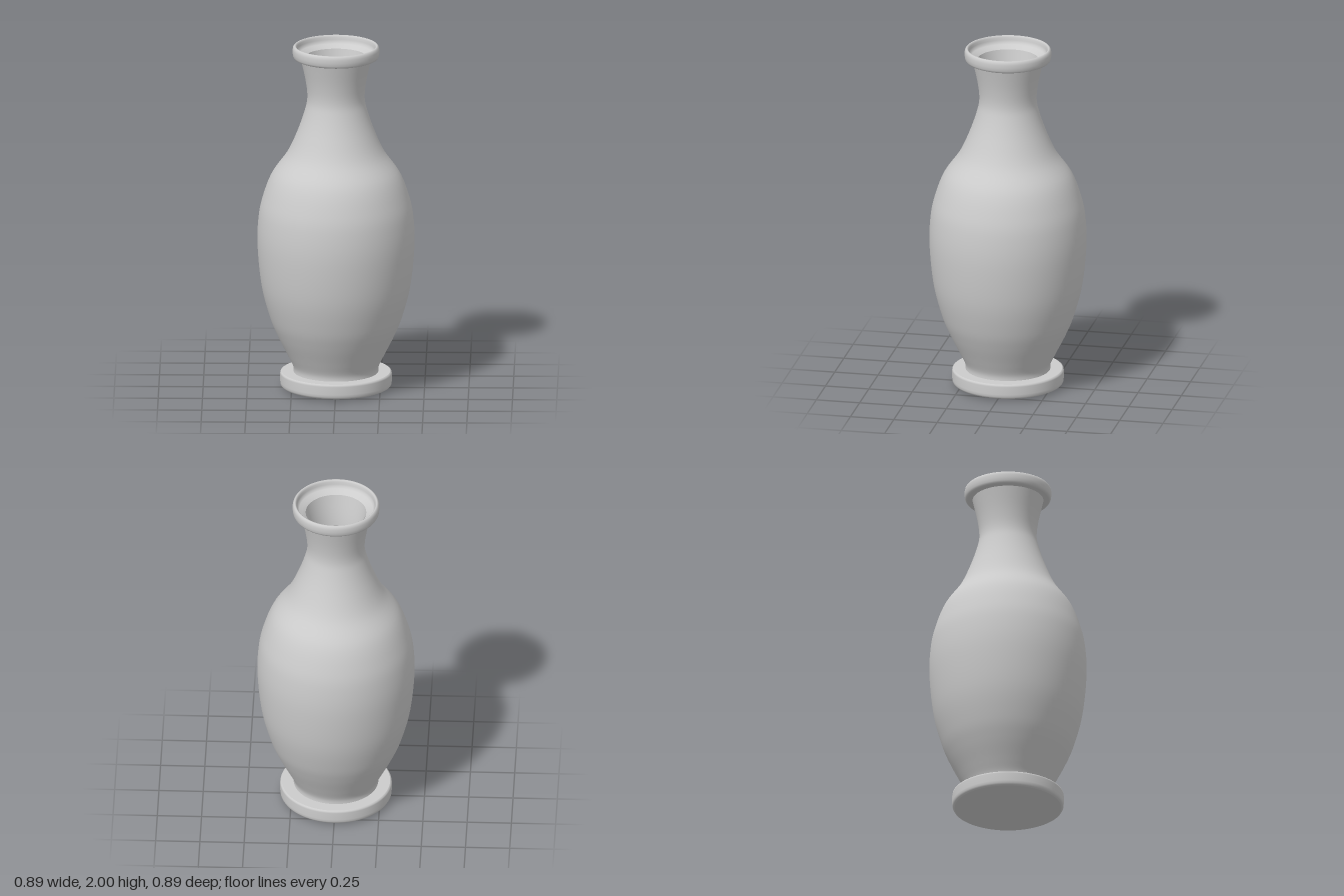
import * as THREE from 'three';

const SEGMENTS = 96;
const material = new THREE.MeshStandardMaterial({ color: 0xcccccc, side: THREE.DoubleSide });
const toPoints = (pairs) => pairs.map(([r, y]) => new THREE.Vector2(r, y));

// Spins a profile around the y axis; a smooth profile is first run through a spline.
function turned(name, pairs, smoothSteps = 0) {
  let points = toPoints(pairs);
  if (smoothSteps) points = new THREE.SplineCurve(points).getPoints(smoothSteps);
  const mesh = new THREE.Mesh(new THREE.LatheGeometry(points, SEGMENTS), material);
  mesh.name = name;
  return mesh;
}

export function createModel() {
  const vase = new THREE.Group();
  vase.name = 'vase';

  // Outer wall from the foot to the neck
  const wall = [
    [0.24, 0.09], [0.242, 0.13], [0.275, 0.2], [0.33, 0.31], [0.374, 0.42], [0.42, 0.6],
    [0.443, 0.83], [0.437, 1.0], [0.412, 1.12], [0.362, 1.25], [0.275, 1.375],
    [0.218, 1.5], [0.177, 1.62], [0.162, 1.7], [0.172, 1.8], [0.202, 1.935],
  ];
  vase.add(turned('body', wall, 80));

  // Inner wall, a constant thickness inside the outer one, and its floor
  const inner = wall.map(([r, y]) => [r - 0.031, y]).reverse();
  vase.add(turned('innerWall', inner, 80));
  vase.add(turned('innerFloor', [[0.215, 0.11], [0, 0.11]]));

  // Rolled lip with a recessed ledge on its inside
  vase.add(turned('rim', [
    [0.19, 1.927], [0.228, 1.927], [0.237, 1.931], [0.243, 1.942], [0.245, 1.96],
    [0.245, 1.978], [0.242, 1.991], [0.236, 1.998], [0.231, 2.0], [0.226, 1.997],
    [0.222, 1.989], [0.22, 1.975], [0.217, 1.962], [0.208, 1.953], [0.19, 1.945], [0.171, 1.93],
  ]));

  // Foot: bevelled side, flat top and a shallow domed underside
  vase.add(turned('footSide', [
    [0.3, 0.012], [0.309, 0.017], [0.314, 0.026], [0.315, 0.04],
    [0.315, 0.085], [0.313, 0.094], [0.306, 0.098],
  ]));
  vase.add(turned('footTop', [[0.306, 0.098], [0.2, 0.098]]));
  vase.add(turned('footBottom', [[0, 0], [0.14, 0.002], [0.3, 0.012]]));

  return vase;
}
